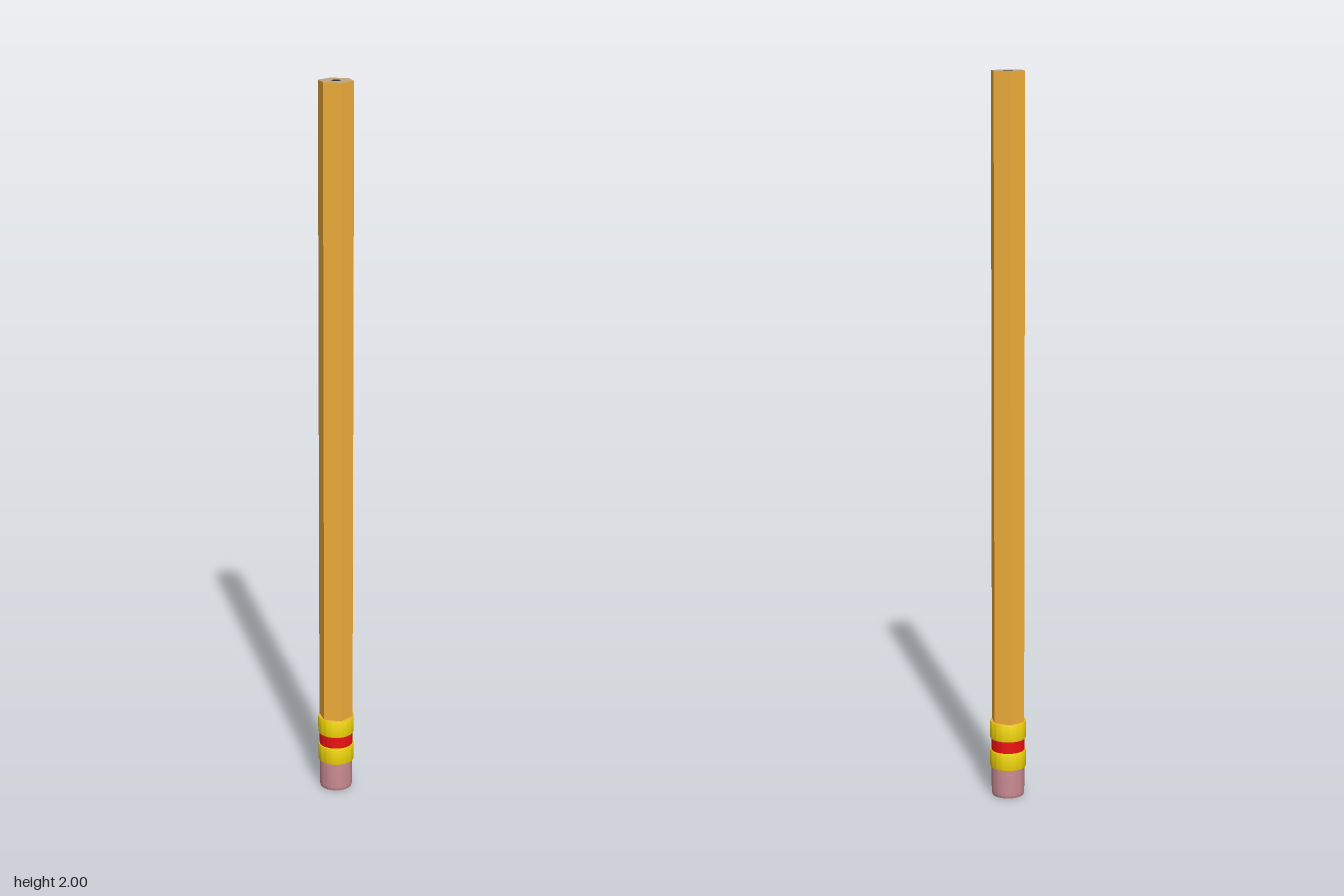
import * as THREE from 'three';
import { toCreasedNormals } from 'three/addons/utils/BufferGeometryUtils.js';

const ORANGE = 0xf0ae3a, YELLOW = 0xf5d90a, RED = 0xee1111;
const PINK = 0xcc8d94, WOOD = 0xc0a67e, LEAD = 0x2a2a2a;

export function createModel() {
  const model = new THREE.Group();

  const add = (name, geometry, color, flatShading = false) => {
    const mesh = new THREE.Mesh(geometry, new THREE.MeshStandardMaterial({ color, flatShading }));
    mesh.name = name;
    model.add(mesh);
    return mesh;
  };
  // Turned part from [radius, height] pairs, listed bottom to top
  const turned = (points) => toCreasedNormals(
    new THREE.LatheGeometry(points.map(([r, y]) => new THREE.Vector2(r, y)), 48), 0.6);

  // Hexagonal shaft, corners on the x axis, with a cut wooden end
  const hexRadius = 0.048, shaftBottom = 0.2, top = 2;
  const shaft = new THREE.CylinderGeometry(
    hexRadius, hexRadius, top - shaftBottom, 6, 1, true, Math.PI / 2);
  add('shaft', shaft, ORANGE, true).position.y = (top + shaftBottom) / 2;

  // Ring of wood around the lead
  const wood = new THREE.RingGeometry(0.0125, hexRadius, 6, 1);
  const woodEnd = new THREE.Shape();
  for (let i = 0; i < 6; i++) {
    const a = i * Math.PI / 3;
    woodEnd[i ? 'lineTo' : 'moveTo'](hexRadius * Math.cos(a), hexRadius * Math.sin(a));
  }
  woodEnd.holes.push(new THREE.Path().absarc(0, 0, 0.0125, 0, Math.PI * 2, true));
  wood.copy(new THREE.ShapeGeometry(woodEnd, 24));
  add('woodEnd', wood.rotateX(-Math.PI / 2), WOOD).position.y = top;

  // Lead flush with the end
  add('lead', new THREE.CircleGeometry(0.0125, 32).rotateX(-Math.PI / 2), LEAD).position.y = top;

  // Ferrule: two yellow bands around a narrower red one
  const band = (y0, y1) => turned([
    [0.044, y0], [0.049, y0], [0.05, y0 + 0.004], [0.05, y1 - 0.004], [0.049, y1], [0.044, y1]]);
  add('lowerFerruleBand', band(0.084, 0.133), YELLOW);
  add('upperFerruleBand', band(0.167, 0.216), YELLOW);
  add('redBand', turned([[0.0465, 0.13], [0.0465, 0.17]]), RED);

  // Shoulder closing the top of the ferrule
  const shoulder = new THREE.RingGeometry(0.038, 0.0495, 48).rotateX(-Math.PI / 2);
  add('ferruleShoulder', shoulder, ORANGE).position.y = 0.217;

  // Eraser with a softened lower rim
  add('eraser', turned([
    [0, 0], [0.04, 0], [0.0435, 0.0015], [0.045, 0.006], [0.0455, 0.012], [0.0455, 0.09]]), PINK);

  return model;
}
